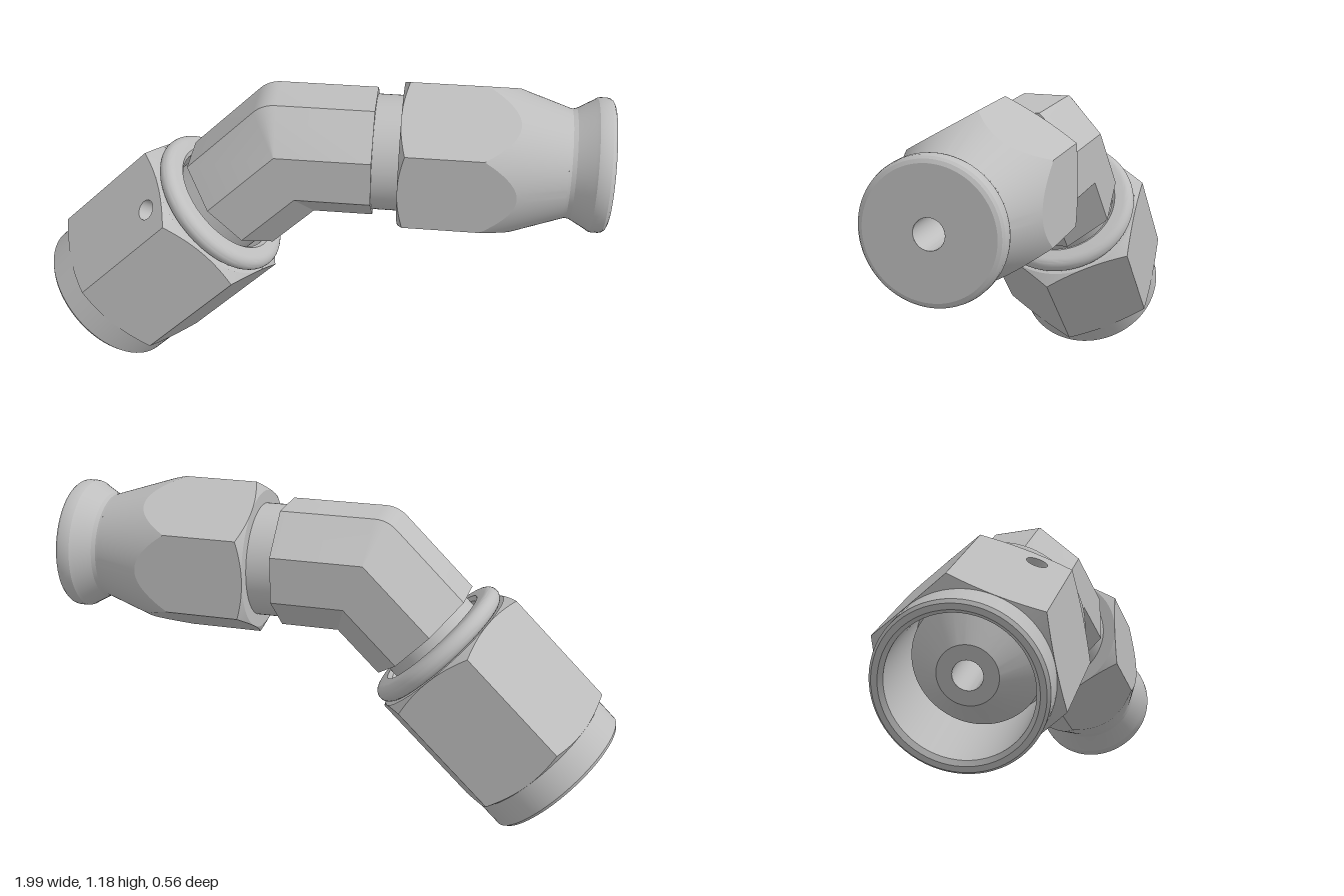
import * as THREE from 'three';
import { toCreasedNormals } from 'three/addons/utils/BufferGeometryUtils.js';

const AXIS_Y = 0.9;                                   // height of the horizontal axis
const BEND = new THREE.Vector3(-0.093, AXIS_Y, 0);    // where the two axes meet
const S = Math.SQRT1_2;
const FACE_STEPS = 20;

// Surface through closed rings of equal point count; keep(i, j) can drop quads.
function loft(rings, keep = () => true) {
  const pos = [];
  const n = rings[0].length;
  for (let j = 0; j < rings.length - 1; j++) {
    for (let i = 0; i < n; i++) {
      if (!keep(i, j)) continue;
      const k = (i + 1) % n;
      const a = rings[j][i], b = rings[j + 1][i], c = rings[j + 1][k], d = rings[j][k];
      for (const p of [a, b, d, b, c, d]) pos.push(p.x, p.y, p.z);
    }
  }
  const g = new THREE.BufferGeometry();
  g.setAttribute('position', new THREE.Float32BufferAttribute(pos, 3));
  return toCreasedNormals(g, 0.3);
}

function lathe(points) {
  const profile = points.map(([r, y]) => new THREE.Vector2(r, y));
  return toCreasedNormals(new THREE.LatheGeometry(profile, 72), 0.3);
}

// Hexagonal prism along y whose ends are trimmed by cones:
// each cone starts at [radius, y] and widens by one unit per "slope" units of y.
function hexRings(apothem, [r0, y0], slope0, [r1, y1], slope1) {
  const rings = [[], [], [], []];
  for (let i = 0; i < 6 * FACE_STEPS; i++) {
    const a = (i / FACE_STEPS) * Math.PI / 3;
    const off = ((i % FACE_STEPS) / FACE_STEPS - 0.5) * Math.PI / 3;
    const hr = apothem / Math.cos(off);
    const at = (r, y) => new THREE.Vector3(r * Math.cos(a), y, r * Math.sin(a));
    rings[0].push(at(r0, y0));
    rings[1].push(at(hr, y0 + (hr - r0) * slope0));
    rings[2].push(at(hr, y1 - (hr - r1) * slope1));
    rings[3].push(at(r1, y1));
  }
  return rings;
}

// Rings of a 45 degree mitred bend for a section of [m, z] points;
// m points to the outside of the bend, "round" softens the outermost corner.
function bendRings(section, xStart, length, round = 0) {
  const leg1 = (m, z, x) => new THREE.Vector3(x, AXIS_Y + m, z);
  const leg2 = (m, z, l) => new THREE.Vector3(BEND.x - S * (l + m), BEND.y + S * (m - l), z);
  const rings = [section.map(([m, z]) => leg1(m, z, xStart))];
  const steps = round ? 6 : 0;
  for (let s = 0; s <= steps; s++) {
    const t = steps ? s / steps : 0;
    rings.push(section.map(([m, z]) => {
      const corner = leg1(m, z, BEND.x - m * Math.tan(Math.PI / 8));
      const k = m > 0.15 ? round : 0;
      const from = corner.clone().add(new THREE.Vector3(k, 0, 0));
      const to = corner.clone().add(new THREE.Vector3(-S * k, -S * k, 0));
      return new THREE.QuadraticBezierCurve3(from, corner, to).getPoint(t);
    }));
  }
  rings.push(section.map(([m, z]) => leg2(m, z, length)));
  return rings;
}

export function createModel() {
  const model = new THREE.Group();
  model.name = 'angledHoseFitting';
  const metal = new THREE.MeshStandardMaterial({ color: 0xbebebe, side: THREE.DoubleSide });
  metal.name = 'grey metal';

  const add = (parent, name, geometry) => {
    const mesh = new THREE.Mesh(geometry, metal);
    mesh.name = name;
    parent.add(mesh);
    return mesh;
  };

  // Octagonal elbow body, with end faces
  const f = 0.21, h = 0.082;
  const octagon = [[f, h], [h, f], [-h, f], [-f, h], [-f, -h], [-h, -f], [h, -f], [f, -h]];
  const body = bendRings(octagon, 0.2, 0.297, 0.045);
  const inner = bendRings(octagon.map(([m, z]) => [m / 2, z / 2]), 0.2, 0.297);
  add(model, 'elbowBody', loft([inner[0], ...body, inner[inner.length - 1]]));

  // Through bore
  const circle = Array.from({ length: 32 }, (_, i) => {
    const a = i / 16 * Math.PI;
    return [0.05 * Math.cos(a), 0.05 * Math.sin(a)];
  });
  add(model, 'bore', loft(bendRings(circle, 1, 0.88).reverse()));

  // Hose end, built along y and turned to +x
  const hoseEnd = new THREE.Group();
  hoseEnd.name = 'hoseEnd';
  hoseEnd.position.y = AXIS_Y;
  hoseEnd.rotation.z = -Math.PI / 2;
  model.add(hoseEnd);
  add(hoseEnd, 'hoseCollar', lathe([[0.1, 0.199], [0.2, 0.199], [0.2, 0.292]]));
  const socket = hexRings(0.245, [0.245, 0.29], 0.55, [0.19, 0.85], 3);
  const socketBack = socket[0].map((p) => new THREE.Vector3(p.x * 0.7, p.y, p.z * 0.7));
  add(hoseEnd, 'hoseSocket', loft([socketBack, ...socket]));
  add(hoseEnd, 'flaredEnd', lathe([
    [0.19, 0.85], [0.187, 0.86], [0.19, 0.875], [0.222, 0.932], [0.229, 0.942], [0.231, 0.952],
    [0.231, 0.975], [0.229, 0.985], [0.222, 0.994], [0.21, 1], [0.05, 1],
  ]));

  // Swivel nut, built along y and turned down the second axis
  const swivel = new THREE.Group();
  swivel.name = 'swivelNut';
  swivel.position.copy(BEND);
  swivel.rotation.z = Math.PI * 0.75;
  model.add(swivel);

  // Hexagon: face 0 is replaced by a plate with a drilled hole
  const apothem = 0.281;
  const nut = hexRings(apothem, [0.28, 0.396], 0.55, [0.28, 0.89], 0.55);
  add(swivel, 'nutHexagon', loft(nut, (i, j) => j !== 1 || i >= FACE_STEPS));
  const toPlate = (p) => new THREE.Vector2(p.x * 0.5 - p.z * Math.sin(Math.PI / 3), p.y);
  const outline = [
    ...nut[1].slice(0, FACE_STEPS + 1),
    ...nut[2].slice(0, FACE_STEPS + 1).reverse(),
  ].map(toPlate);
  const plate = new THREE.Shape(outline);
  const holeU = -0.05, holeY = 0.477, holeR = 0.036;
  plate.holes.push(new THREE.Path().absarc(holeU, holeY, holeR, 0, Math.PI * 2, true));
  add(swivel, 'drilledFace', new THREE.ShapeGeometry(plate, 24).translate(0, 0, apothem))
    .rotation.y = Math.PI / 3;
  const wall = new THREE.CylinderGeometry(holeR, holeR, 0.07, 48, 1, true);
  wall.rotateX(Math.PI / 2).translate(holeU, holeY, apothem - 0.035);
  add(swivel, 'wireHole', wall).rotation.y = Math.PI / 3;

  // Rounded rim facing the elbow
  const rim = [[0.2, 0.62], [0.2, 0.345], [0.213, 0.332]];
  for (let i = 0; i <= 14; i++) {
    const a = -Math.PI / 2 + (i / 14) * Math.PI;
    rim.push([0.247 + 0.033 * Math.cos(a), 0.365 + 0.033 * Math.sin(a)]);
  }
  rim.push([0.28, 0.398]);
  add(swivel, 'nutRim', lathe(rim));

  // Round skirt with its open inside
  add(swivel, 'nutSkirt', lathe([
    [0.28, 0.885], [0.28, 0.988], [0.27, 1], [0.25, 1], [0.236, 0.985], [0.236, 0.62], [0.2, 0.62],
  ]));

  // Neck of the elbow and its cone seat inside the nut
  add(swivel, 'neckAndSeat', lathe([
    [0.185, 0.29], [0.185, 0.63], [0.215, 0.63], [0.215, 0.75], [0.2, 0.77], [0.1, 0.88], [0.05, 0.88],
  ]));

  return model;
}
